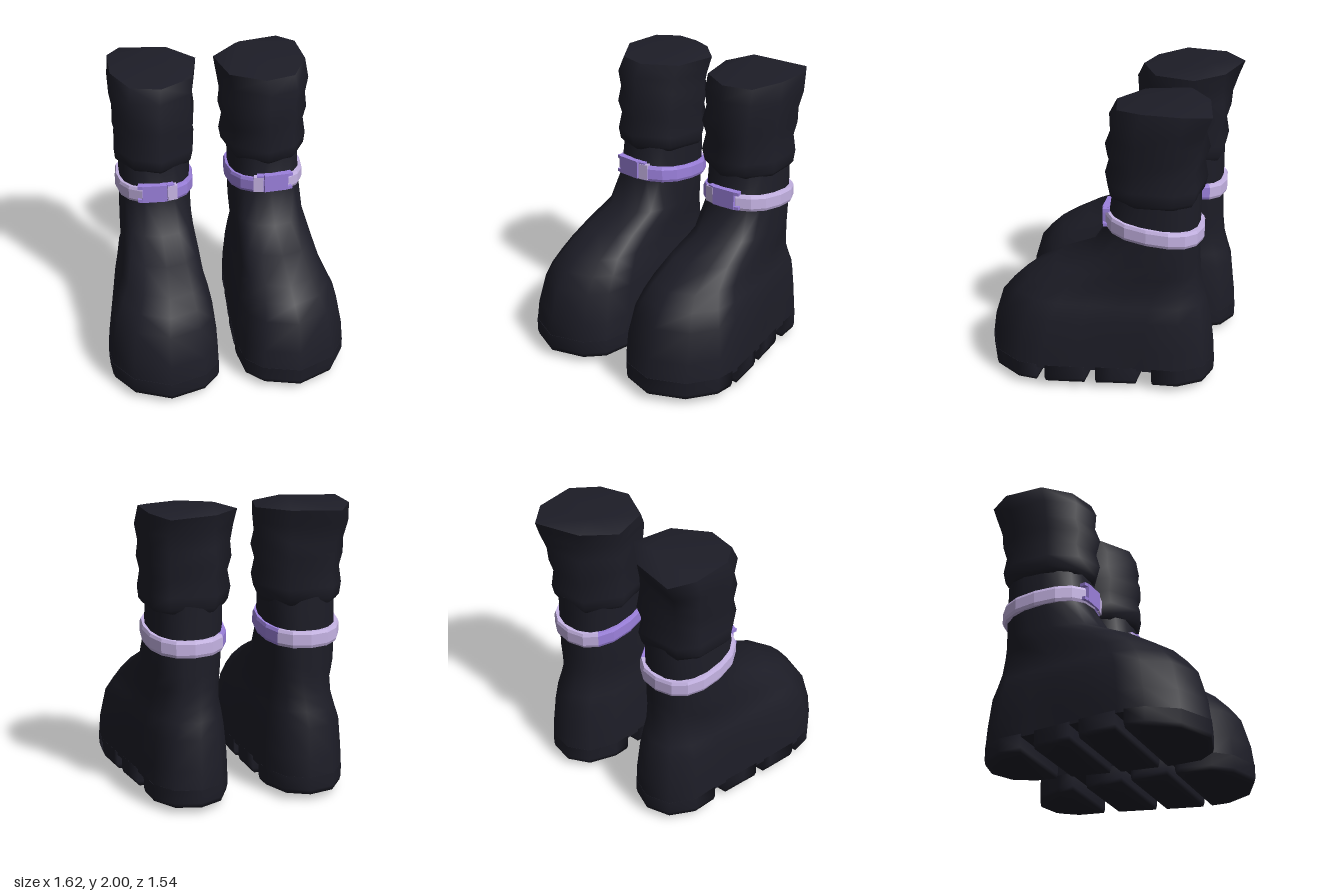
import * as THREE from 'three';

const dark = new THREE.MeshStandardMaterial({ color: 0x1d1d27 });
dark.name = 'charcoal leather';
const purple = new THREE.MeshStandardMaterial({ color: 0x9c81dd });
purple.name = 'purple strap';
const lilac = new THREE.MeshStandardMaterial({ color: 0xc6b4e5 });
lilac.name = 'lilac strap';

// Skin a stack of closed rings of [x, y, z]; each end closes with a fan to a peak
function loft(rings, { start, end, flat = false } = {}) {
  const n = rings[0].length, pos = rings.flat(2), idx = [];
  for (let j = 0; j < rings.length - 1; j++) {
    for (let i = 0; i < n; i++) {
      const k = (i + 1) % n, a = j * n + i, b = j * n + k;
      idx.push(a, b, b + n, a, b + n, a + n);
    }
  }
  const cap = (ring, peak, flip) => {
    const c = peak ?? [0, 1, 2].map(d => ring.reduce((s, p) => s + p[d], 0) / n);
    const base = pos.length / 3;
    pos.push(...c, ...ring.flat());
    for (let i = 0; i < n; i++) {
      const a = base + 1 + i, b = base + 1 + (i + 1) % n;
      idx.push(base, flip ? b : a, flip ? a : b);
    }
  };
  cap(rings[0], start, true);
  cap(rings[rings.length - 1], end, false);
  let g = new THREE.BufferGeometry();
  g.setAttribute('position', new THREE.Float32BufferAttribute(pos, 3));
  g.setIndex(idx);
  if (flat) g = g.toNonIndexed();
  g.computeVertexNormals();
  return g;
}

// Foot outline, from toe round the outer side to the heel and back (x, z)
const foot = [
  [.44, .77], [.68, .66], [.80, .47], [.81, .30], [.77, .08], [.72, -.15], [.68, -.35], [.65, -.58], [.54, -.73],
  [.37, -.77], [.22, -.70], [.13, -.52], [.105, -.2], [.08, .05], [.065, .38], [.09, .58], [.2, .70],
];
const footUnit = foot.map(([x, z]) => [(x - .4375) / .3725, z / .77]);
const soften = t => Math.sign(t) * Math.abs(t) ** .85;
const shaftUnit = foot.map((_, i) => {
  const a = i / foot.length * Math.PI * 2;
  return [soften(Math.sin(a)), soften(Math.cos(a))];
});
const cuffUnit = [
  [.35, -.09], [.55, -.14], [.66, -.32], [.65, -.59], [.55, -.735], [.24, -.66], [.06, -.49], [.125, -.22],
].map(([x, z]) => [(x - .36) / .3, (z + .4125) / .3225]);

// Fit a unit outline to a box at height y
const fit = (unit, y, f, b, xi, xo) =>
  unit.map(([u, v]) => [(xi + xo) / 2 + u * (xo - xi) / 2, y, (f + b) / 2 + v * (f - b) / 2]);

function upper() {
  // y, front z, back z, inner x, outer x, foot-shape weight
  const levels = [
    [.15, .77, -.77, .065, .81, 1], [.3, .75, -.76, .07, .80, 1], [.5, .69, -.735, .09, .77, .92],
    [.6, .61, -.705, .108, .725, .85], [.69, .52, -.68, .13, .685, .75], [.8, .32, -.662, .135, .66, .5],
    [.9, .08, -.655, .14, .64, .25], [1.1, -.045, -.65, .14, .63, 0], [1.36, -.08, -.65, .14, .62, 0],
  ];
  return loft(levels.map(([y, f, b, xi, xo, w]) => {
    // The heel takes the shaft's shape sooner than the toe
    const unit = footUnit.map(([u, v], i) => {
      const k = v < 0 ? w * w : w;
      return [shaftUnit[i][0] * (1 - k) + u * k, shaftUnit[i][1] * (1 - k) + v * k];
    });
    return fit(unit, y, f, b, xi, xo);
  }));
}

function cuff() {
  // y, front z, back z, inner x, outer x; rounder towards the ankle
  const rings = [
    [1.31, -.07, -.66, .12, .635], [1.34, -.04, -.68, .10, .66], [1.42, -.02, -.70, .085, .668],
    [1.53, -.05, -.68, .105, .652], [1.62, -.02, -.71, .08, .672], [1.72, -.055, -.70, .092, .662],
    [1.83, -.045, -.72, .075, .68], [1.94, -.09, -.745, .06, .66],
  ].map((r, j) => {
    const w = Math.min(1, (7 - j) / 3);
    const unit = cuffUnit.map(([u, v]) => {
      const s = 1 - w + w * 1.02 / Math.hypot(u, v);
      return [u * s, v * s];
    });
    return fit(unit, ...r);
  });
  // The rim dips at the front and rises on the outer side
  for (const p of rings[rings.length - 1]) p[1] = p[2] > -.25 ? 1.925 : p[0] > .6 ? 1.955 : 1.935;
  return loft(rings, { end: [.25, 2, -.56] });
}

// Keep the part of an outline on one side of z = limit
function clip(poly, limit, sign) {
  const out = [];
  poly.forEach((p, i) => {
    const q = poly[(i + 1) % poly.length];
    const dp = (p[1] - limit) * sign, dq = (q[1] - limit) * sign;
    if (dp >= 0) out.push(p);
    if (dp * dq < 0) {
      const t = dp / (dp - dq);
      out.push([p[0] + (q[0] - p[0]) * t, limit]);
    }
  });
  return out;
}

// One tread lug with a bulging underside, lowest at z = low
function lug(back, front, low) {
  const poly = clip(clip(foot, back, 1), front, -1);
  const cx = poly.reduce((s, p) => s + p[0], 0) / poly.length;
  const ring = (y, s) => poly.map(([x, z]) => [cx + (x - cx) * s, y, low + (z - low) * s]);
  return loft([ring(.022, .62), ring(.05, .97), ring(.08, 1), ring(.17, 1)], { start: [cx, .003, low] });
}

// Section of the tilted ankle strap, swept as a bevelled band
function strap(from, to, steps) {
  const section = [[-.008, .055], [0, .035], [0, -.035], [-.008, -.055], [-.04, -.055], [-.04, .055]];
  const rings = [];
  for (let i = 0; i <= steps; i++) {
    const a = from + (to - from) * i / steps, s = Math.sin(a), c = Math.cos(a);
    rings.push(section.map(([r, h]) => [
      .385 + (.27 + r) * soften(s), 1.12 + .035 * c + h, -.357 + (.325 + r) * soften(c)]));
  }
  return loft(rings, { flat: true });
}

const block = (w, h, d, x, y, z, turn) =>
  new THREE.BoxGeometry(w, h, d).rotateY(turn).translate(x, y, z);

// Mirror a geometry across x = 0, keeping its faces outward
function mirrored(geometry) {
  const g = geometry.index ? geometry.toNonIndexed() : geometry.clone();
  g.scale(-1, 1, 1);
  for (const attribute of Object.values(g.attributes)) {
    const { array, itemSize: k } = attribute;
    for (let i = 0; i < array.length; i += 3 * k) {
      for (let d = 0; d < k; d++) {
        [array[i + k + d], array[i + 2 * k + d]] = [array[i + 2 * k + d], array[i + k + d]];
      }
    }
  }
  return g;
}

export function createModel() {
  const parts = [
    ['upper', upper(), dark],
    ['cuff', cuff(), dark],
    ['outerStrap', strap(0, Math.PI * 1.25, 10), lilac],
    ['innerStrap', strap(Math.PI * 1.25, Math.PI * 2, 6), purple],
    // Buckle: centre plate, lilac clip and corner prongs
    ['bucklePlate', block(.165, .125, .045, .418, 1.172, -.05, .06), purple],
    ['buckleClip', block(.068, .11, .045, .3, 1.165, -.058, -.2), lilac],
  ];
  for (const y of [1.12, 1.222]) {
    parts.push(['outerProng', block(.035, .022, .045, .512, y, -.062, .25), purple]);
    parts.push(['innerProng', block(.05, .018, .045, .312, y, -.06, -.2), purple]);
  }
  // Tread lugs separated by grooves
  for (const span of [[-.8, -.41, -.56], [-.31, -.045, -.16], [.025, .285, .13], [.34, .8, .5]]) {
    parts.push(['treadLug', lug(...span), dark]);
  }

  const model = new THREE.Group();
  model.name = 'bootPair';
  for (const side of ['left', 'right']) {
    const boot = new THREE.Group();
    boot.name = side + 'Boot';
    for (const [name, geometry, material] of parts) {
      const mesh = new THREE.Mesh(side === 'left' ? geometry : mirrored(geometry), material);
      mesh.name = name;
      boot.add(mesh);
    }
    model.add(boot);
  }
  return model;
}
